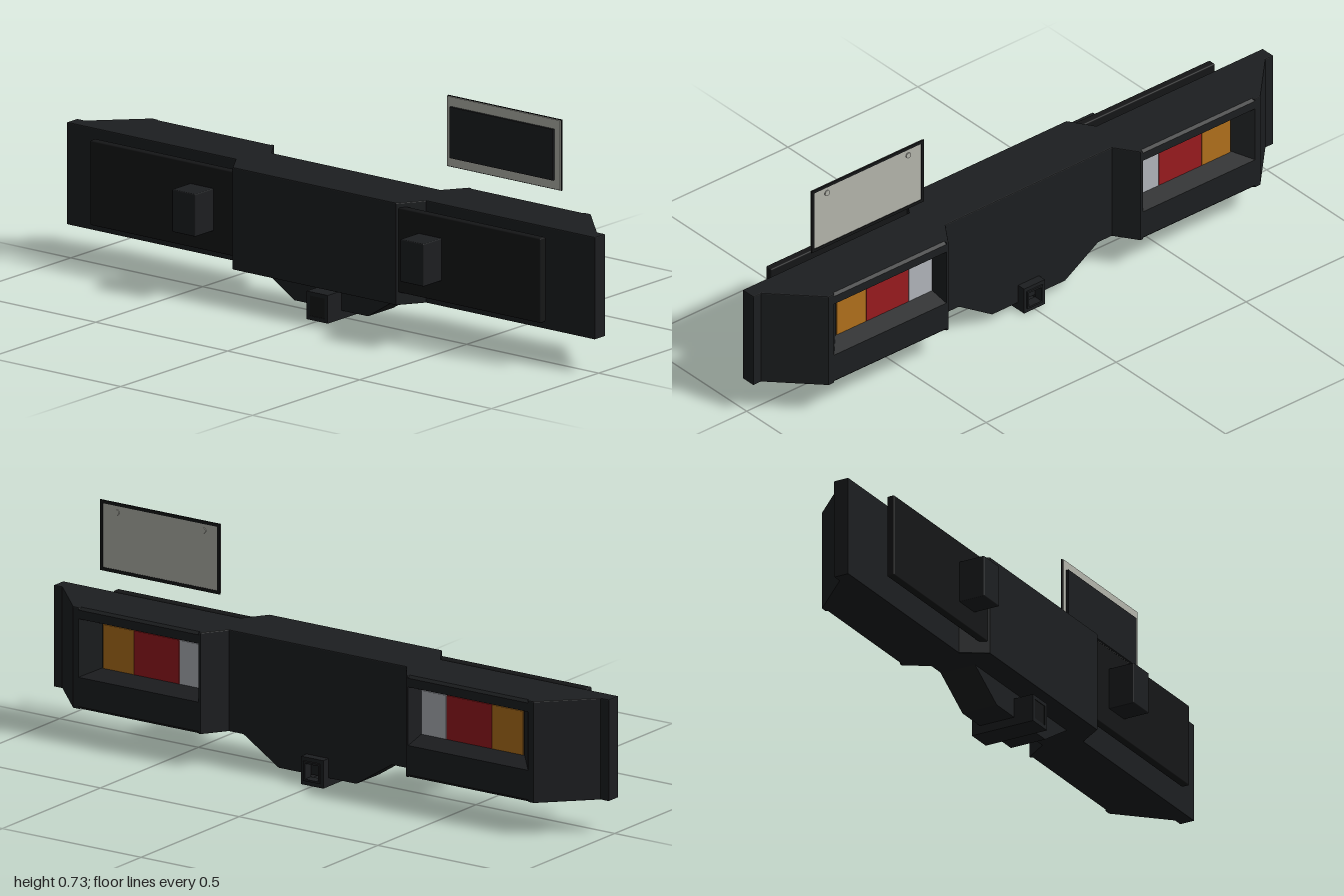
import * as THREE from 'three';
import { RoundedBoxGeometry } from 'three/addons/geometries/RoundedBoxGeometry.js';

const paint = (color) => new THREE.MeshStandardMaterial({ color });
const black = paint(0x1c1e20), darker = paint(0x151617), plateGrey = paint(0xb4b5ac);
const white = paint(0xb0b4ba), red = paint(0x981a1e), amber = paint(0xb0701c);

export function createModel() {
  const model = new THREE.Group();

  const add = (name, geometry, material) => {
    const mesh = new THREE.Mesh(geometry, material);
    mesh.name = name;
    model.add(mesh);
    return mesh;
  };
  // Box given by its limits on each axis, with optional rounded edges
  const box = (name, [x0, x1], [y0, y1], [z0, z1], material = black, r = 0) => {
    const size = [x1 - x0, y1 - y0, z1 - z0];
    const g = r ? new RoundedBoxGeometry(...size, 2, r) : new THREE.BoxGeometry(...size);
    g.translate((x0 + x1) / 2, (y0 + y1) / 2, (z0 + z1) / 2);
    return add(name, g, material);
  };
  const span = (s, a, b) => (s > 0 ? [a, b] : [-b, -a]);
  const shapeOf = (pts) => new THREE.Shape(pts.map(([x, y]) => new THREE.Vector2(x, y)));

  // Bumper body: mirrored plan outline (x, z) with light pockets, extruded upward
  const half = [
    [0.32, -0.1], [0.37, -0.173], [0.378, -0.173], [0.39, -0.12], [0.76, -0.12],
    [0.81, -0.173], [0.83, -0.173], [0.97, -0.03], [1, -0.03], [1, 0.018],
    [0.36, 0.018], [0.31, 0.095],
  ];
  const outline = [...half, ...half.map(([x, z]) => [-x, z]).reverse()];
  const bevel = 0.003;
  const body = new THREE.ExtrudeGeometry(shapeOf(outline.map(([x, z]) => [x, -z])), {
    depth: 0.313 - 2 * bevel, bevelEnabled: true, bevelThickness: bevel,
    bevelSize: bevel, bevelOffset: -bevel, bevelSegments: 2,
  });
  body.rotateX(-Math.PI / 2).translate(0, 0.107 + bevel, 0);
  add('bumperBody', body, black);

  // Profile (z, y) extruded along x between two limits
  const bar = (name, pts, [x0, x1]) => {
    const g = new THREE.ExtrudeGeometry(shapeOf(pts), { depth: x1 - x0, bevelEnabled: false });
    g.rotateY(-Math.PI / 2).translate(x1, 0, 0);
    return add(name, g, black);
  };

  for (const s of [1, -1]) {
    const side = s > 0 ? 'left' : 'right';
    // Sloped lips above and below the lights
    bar(side + 'LightVisor', [[-0.11, 0.365], [-0.12, 0.365], [-0.173, 0.385], [-0.173, 0.412],
      [-0.165, 0.42], [-0.11, 0.42]], span(s, 0.372, 0.825));
    bar(side + 'LightLedge', [[-0.11, 0.107], [-0.165, 0.107], [-0.173, 0.115], [-0.173, 0.205],
      [-0.12, 0.23], [-0.11, 0.23]], span(s, 0.372, 0.825));
    // Light lenses, inner to outer
    const lenses = [['ReverseLight', 0.391, 0.48, white], ['BrakeLight', 0.482, 0.644, red],
      ['TurnLight', 0.646, 0.757, amber]];
    for (const [name, a, b, material] of lenses) {
      box(side + name, span(s, a, b), [0.23, 0.365], [-0.124, -0.11], material);
    }
    // Mounting bracket
    box(side + 'Bracket', span(s, 0.388, 0.477), [0.21, 0.34], [0.01, 0.173], black, 0.003);
  }

  // Backing plate across the inner face
  box('backingPlate', [-0.855, 0.852], [0.146, 0.405], [0.064, 0.089], darker, 0.004);

  // Tapered skirt below the centre
  const skirt = new THREE.ExtrudeGeometry(
    shapeOf([[-0.14, 0.027], [0.14, 0.027], [0.27, 0.11], [-0.27, 0.11]]),
    { depth: 0.117, bevelEnabled: false });
  add('skirt', skirt.translate(0, 0, -0.1), black);

  // Hollow square hitch receiver with a collar at its open end
  const tube = (name, w, y0, y1, wall, z0, z1) => {
    const shape = shapeOf([[-w, y0], [w, y0], [w, y1], [-w, y1]]);
    shape.holes.push(new THREE.Path([[-w + wall, y0 + wall], [-w + wall, y1 - wall],
      [w - wall, y1 - wall], [w - wall, y0 + wall]].map((p) => new THREE.Vector2(...p))));
    const g = new THREE.ExtrudeGeometry(shape, { depth: z1 - z0, bevelEnabled: false });
    add(name, g.translate(0, 0, z0), black);
  };
  tube('hitchReceiver', 0.04, 0.001, 0.087, 0.012, -0.127, 0.082);
  tube('hitchCollar', 0.03, 0.014, 0.074, 0.006, -0.131, -0.1);
  box('hitchPlug', [-0.03, 0.03], [0.01, 0.078], [0.05, 0.08], darker);

  // Number plate: pale panel, dark rim behind, mounting pad in front, two screws
  box('numberPlate', [0.377, 0.805], [0.512, 0.725], [-0.066, -0.06], plateGrey);
  const rim = shapeOf([[0.375, 0.51], [0.807, 0.51], [0.807, 0.727], [0.375, 0.727]]);
  rim.holes.push(new THREE.Path([[0.385, 0.52], [0.385, 0.717], [0.797, 0.717], [0.797, 0.52]]
    .map((p) => new THREE.Vector2(...p))));
  const rimGeo = new THREE.ExtrudeGeometry(rim, { depth: 0.004, bevelEnabled: false });
  add('plateRim', rimGeo.translate(0, 0, -0.068), darker);
  box('platePad', [0.392, 0.785], [0.54, 0.696], [-0.061, -0.052], black);
  for (const x of [0.435, 0.747]) {
    const screw = new THREE.CylinderGeometry(0.009, 0.009, 0.004, 16);
    add('plateScrew', screw.rotateX(Math.PI / 2).translate(x, 0.697, -0.067), plateGrey);
  }
  return model;
}
